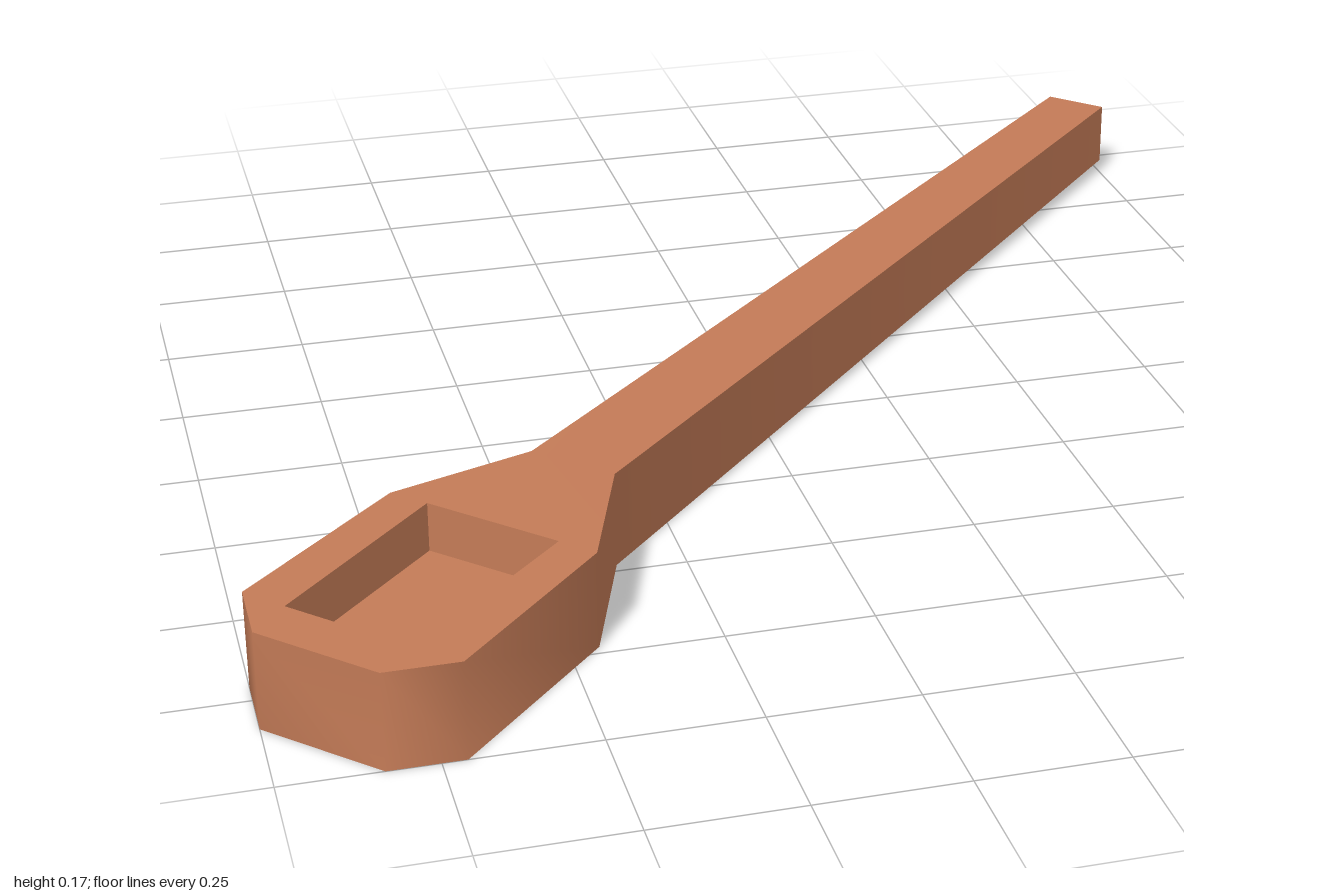
import * as THREE from 'three';
import { mergeGeometries, toCreasedNormals } from 'three/addons/utils/BufferGeometryUtils.js';

const HEIGHT = 0.17;
const FLOOR = 0.083;

// Mirror half an outline across the diagonal the spoon lies along.
const mirrored = (half) =>
  [...half, ...half.map(([x, y]) => [y, x]).reverse()].map(([x, y]) => new THREE.Vector2(x, y));

// Stand an outline up from the ground to a given height.
function slab(shape, depth) {
  const geometry = new THREE.ExtrudeGeometry(shape, { depth, bevelEnabled: false });
  return geometry.rotateX(-Math.PI / 2);
}

export function createModel() {
  const group = new THREE.Group();
  group.name = 'spoon';

  const wood = new THREE.MeshStandardMaterial({ color: 0xc47b57 });
  wood.name = 'reddish wood';

  // Chamfered head with a rectangular hollow, narrowing to the neck
  const neck = [-0.365, -0.48];
  const head = new THREE.Shape(mirrored([[-0.835, -1], [-0.71, -1], [-0.45, -0.73], neck]));
  const hollow = mirrored([[-0.77, -0.943], [-0.5, -0.678]]);
  head.holes.push(new THREE.Path(hollow));
  const headGeometry = slab(head, HEIGHT);

  // Long handle, thinner towards its tip
  const handleGeometry = slab(new THREE.Shape(mirrored([neck, [1, 0.915]])), HEIGHT);
  const position = handleGeometry.attributes.position;
  for (let i = 0; i < position.count; i++) {
    const atTip = position.getX(i) > 0;
    if (atTip) position.setY(i, position.getY(i) > HEIGHT / 2 ? 0.146 : 0.026);
  }

  // Joined so the shading flows round the sides, with the rims kept sharp
  const body = new THREE.Mesh(
    toCreasedNormals(mergeGeometries([headGeometry, handleGeometry]), 0.9), wood);
  body.name = 'headAndHandle';

  // Floor of the hollow
  const floor = new THREE.Mesh(slab(new THREE.Shape(hollow), FLOOR), wood);
  floor.name = 'bowlFloor';

  group.add(body, floor);
  return group;
}
